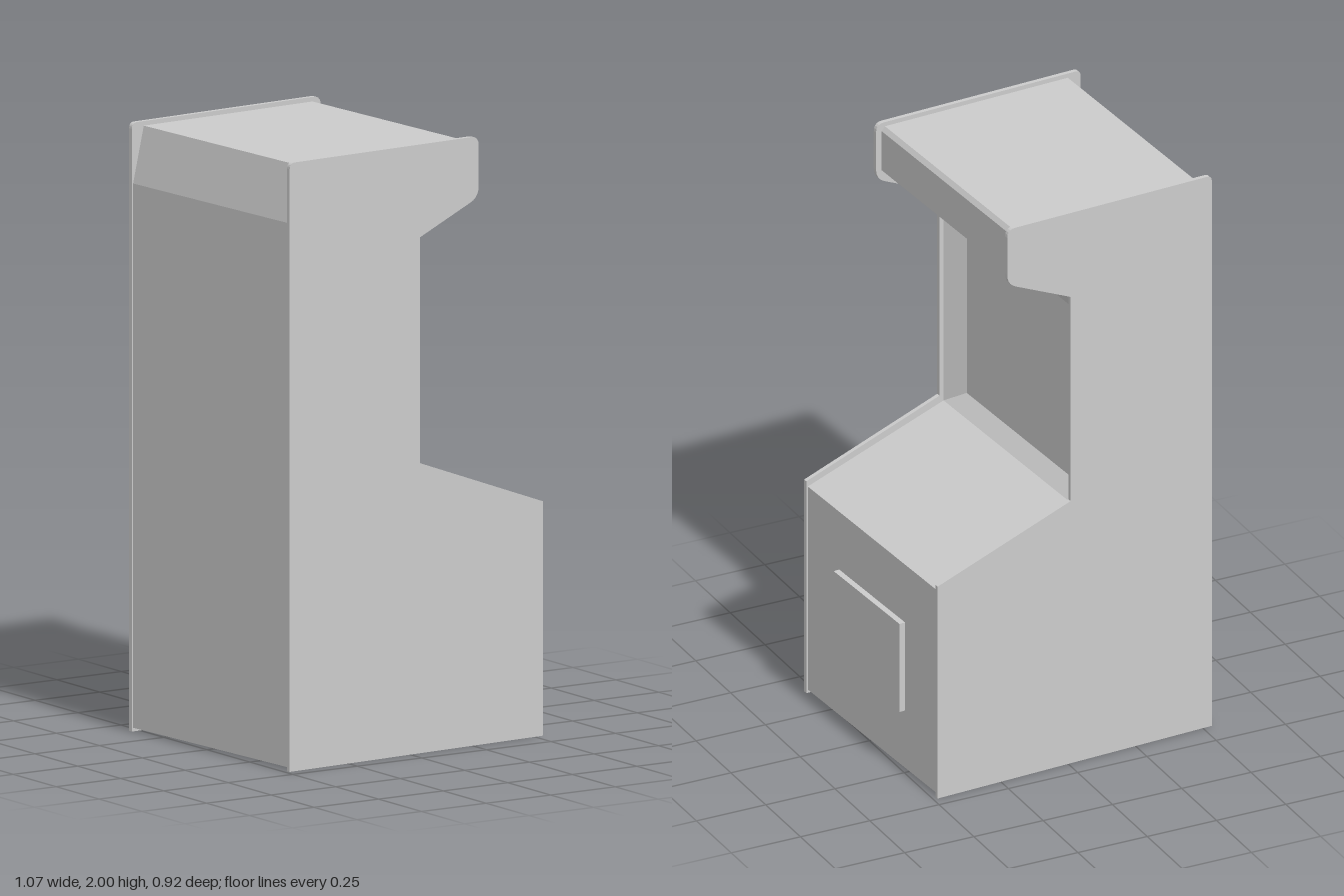
import * as THREE from 'three';

const HALF = 0.432;   // half width over the side panels
const THICK = 0.015;  // side panel thickness
const INNER = HALF - THICK;

const grey = () => new THREE.MeshStandardMaterial({ color: 0xcccccc, flatShading: true, side: THREE.DoubleSide });

// Geometry from quads, each four corners listed counter-clockwise
function quads(list) {
  const pos = [];
  for (const [a, b, c, d] of list) pos.push(...a, ...b, ...c, ...a, ...c, ...d);
  const g = new THREE.BufferGeometry();
  g.setAttribute('position', new THREE.Float32BufferAttribute(pos, 3));
  g.computeVertexNormals();
  return g;
}

// Sheet that follows an x/y outline across the inside width
function sheet(points) {
  const list = [];
  for (let i = 0; i < points.length - 1; i++) {
    const [x0, y0] = points[i], [x1, y1] = points[i + 1];
    list.push([[x0, y0, INNER], [x0, y0, -INNER], [x1, y1, -INNER], [x1, y1, INNER]]);
  }
  return quads(list);
}

// Closed outline whose corners [x, y, radius] may be rounded
function roundedOutline(corners) {
  const shape = new THREE.Shape();
  const n = corners.length;
  corners.forEach(([x, y, r], i) => {
    const p = new THREE.Vector2(x, y);
    const toward = ([qx, qy]) => new THREE.Vector2(qx, qy).sub(p).setLength(r).add(p);
    const a = r ? toward(corners[(i + n - 1) % n]) : p;
    const b = r ? toward(corners[(i + 1) % n]) : p;
    if (i === 0) shape.moveTo(a.x, a.y); else shape.lineTo(a.x, a.y);
    if (r) shape.quadraticCurveTo(x, y, b.x, b.y);
  });
  shape.closePath();
  return shape;
}

export function createModel() {
  const model = new THREE.Group();
  model.name = 'arcadeCabinet';
  const add = (name, geometry) => {
    const mesh = new THREE.Mesh(geometry, grey());
    mesh.name = name;
    model.add(mesh);
    return mesh;
  };

  // Two side panels
  const outline = roundedOutline([
    [-0.51, 0, 0], [0.51, 0, 0], [0.51, 0.77, 0], [0.015, 0.953, 0],
    [0.015, 1.695, 0], [0.251, 1.80, 0.035], [0.251, 2, 0.03], [-0.51, 2, 0.02],
  ]);
  const panel = new THREE.ExtrudeGeometry(outline, { depth: THICK, bevelEnabled: false, curveSegments: 5 });
  add('leftSidePanel', panel).position.z = -HALF;
  add('rightSidePanel', panel).position.z = INNER;

  // Front wall and sloping control deck
  add('frontPanel', sheet([[0.505, 0.012], [0.505, 0.75]]));
  add('controlDeck', sheet([[0.505, 0.75], [0, 0.932]]));

  // Overhanging marquee, roof and back; the underside of the cabinet is open
  add('marquee', sheet([[0, 1.69], [0.212, 1.81], [0.23, 1.828], [0.23, 1.97], [0.218, 1.985]]));
  add('roof', sheet([[0.218, 1.985], [-0.462, 1.985]]));
  add('backPanel', sheet([[-0.462, 1.985], [-0.505, 1.8], [-0.505, 0.012]]));

  // Recessed screen with its sloping surround
  const rect = (x, y0, y1, w) => [[x, y0, w], [x, y0, -w], [x, y1, -w], [x, y1, w]];
  const outer = rect(0, 0.932, 1.69, INNER);
  const inner = rect(-0.045, 0.98, 1.6, 0.345);
  add('screenSurround', quads(outer.map((p, i) => {
    const j = (i + 1) % 4;
    return [p, outer[j], inner[j], inner[i]];
  })));
  add('screen', quads([inner]));

  // Coin door
  add('coinDoor', new THREE.BoxGeometry(0.022, 0.32, 0.426)).position.set(0.515, 0.38, 0);

  // The cabinet stands slightly turned
  model.rotation.y = 0.056;
  return model;
}
